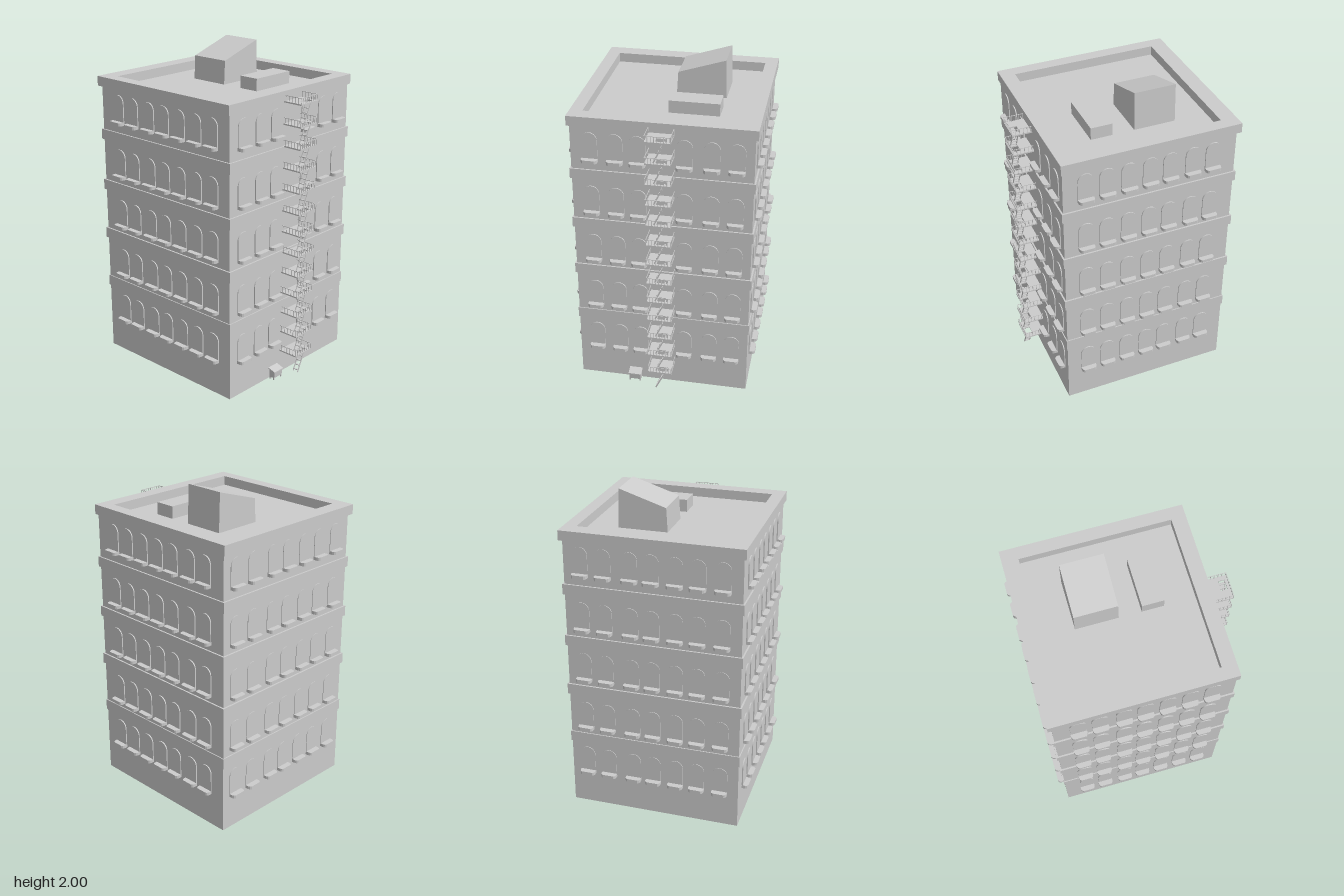
import * as THREE from 'three';
import { mergeGeometries } from 'three/addons/utils/BufferGeometryUtils.js';

const mat = new THREE.MeshStandardMaterial({ color: 0xcccccc, flatShading: true });
const CX = -0.004, CZ = -0.048; // centre of the tower in plan

function box(x0, x1, y0, y1, z0, z1) {
  return new THREE.BoxGeometry(x1 - x0, y1 - y0, z1 - z0)
    .translate((x0 + x1) / 2, (y0 + y1) / 2, (z0 + z1) / 2).toNonIndexed();
}

function polygon(points) {
  return new THREE.Shape(points.map(([x, y]) => new THREE.Vector2(x, y)));
}

function rect(x0, x1, y0, y1) {
  return polygon([[x0, y0], [x1, y0], [x1, y1], [x0, y1]]);
}

function extrude(shape, depth, curveSegments = 8) {
  return new THREE.ExtrudeGeometry(shape, { depth, bevelEnabled: false, curveSegments });
}

// Plan outline (x, z) raised between two heights
function slab(shape, y0, y1) {
  return extrude(shape, y1 - y0).rotateX(Math.PI / 2).translate(0, y1, 0);
}

function add(parent, name, geometry) {
  const mesh = new THREE.Mesh(geometry, mat);
  mesh.name = name;
  parent.add(mesh);
  return mesh;
}

// Arched window panel standing on its sill, facing +z
function windowPanelGeometry(thickness) {
  const w = 0.047, spring = 0.136;
  const s = new THREE.Shape();
  s.moveTo(-w, 0);
  s.lineTo(w, 0);
  s.lineTo(w, spring);
  s.absarc(0, spring, w, 0, Math.PI, false);
  s.lineTo(-w, 0);
  return extrude(s, thickness + 0.01, 10).translate(0, 0, -0.01);
}

// Sill with clipped outer corners
function windowSillGeometry() {
  return slab(polygon([[-0.048, -0.01], [0.048, -0.01], [0.048, 0.022], [0.043, 0.034],
    [0.034, 0.04], [-0.034, 0.04], [-0.043, 0.034], [-0.048, 0.022]]), 0, 0.02);
}

function buildWindows(root) {
  const sill = windowSillGeometry();
  const rows = [0.215, 0.535, 0.867, 1.197, 1.542];
  const sideZ = [0.35, 0.22, 0.088, -0.043, -0.168, -0.308, -0.435];
  const frontX = [-0.424, -0.276, -0.143, 0.13, 0.288, 0.43];
  const backX = [-0.422, -0.276, -0.142, 0, 0.128, 0.288, 0.428];
  const faces = [
    { name: 'front', at: frontX.map(x => [x, 0.485]), turn: 0, thickness: 0.006 },
    { name: 'back', at: backX.map(x => [x, -0.58]), turn: Math.PI, thickness: 0.004 },
    { name: 'left', at: sideZ.map(z => [0.529, z]), turn: Math.PI / 2, thickness: 0.007 },
    { name: 'right', at: sideZ.map(z => [-0.537, z]), turn: -Math.PI / 2, thickness: 0.007 },
  ];
  for (const face of faces) {
    const group = new THREE.Group();
    group.name = face.name + 'Windows';
    const panel = windowPanelGeometry(face.thickness);
    for (const y of rows) for (const [x, z] of face.at) {
      const unit = new THREE.Group();
      unit.name = 'window';
      add(unit, 'archedPanel', panel);
      add(unit, 'sill', sill);
      unit.position.set(x, y, z);
      unit.rotation.y = face.turn;
      group.add(unit);
    }
    root.add(group);
  }
}

// Platform with a ladder opening and a railing on three sides; underside at y = 0
function landingGeometry() {
  const x0 = -0.077, x1 = 0.073, z0 = 0.485, z1 = 0.614, top = 0.044, t = 0.003;
  const floor = rect(x0, x1, z0, z1);
  floor.holes.push(rect(-0.017, 0.046, 0.558, 0.598));
  const parts = [slab(floor, 0, 0.008)];
  // handrails
  parts.push(box(x0, x1, top - t, top, z1 - t, z1));
  for (const x of [x0, x1 - t]) parts.push(box(x, x + t, top - t, top, z0, z1));
  // balusters
  for (let i = 0; i <= 8; i++) {
    const x = x0 + (x1 - x0 - t) * i / 8;
    parts.push(box(x, x + t, 0, top, z1 - t, z1));
  }
  for (let i = 0; i < 5; i++) {
    const z = z0 + 0.012 + (z1 - z0 - 0.012 - t) * i / 5;
    for (const x of [x0, x1 - t]) parts.push(box(x, x + t, 0, top, z, z + t));
  }
  return mergeGeometries(parts);
}

// Leaning ladder that hangs below a landing
function ladderGeometry() {
  const run = 0.066, rise = 0.137, length = Math.hypot(run, rise);
  const parts = [];
  for (const z of [0.561, 0.596]) {
    parts.push(new THREE.BoxGeometry(0.007, length, 0.004)
      .rotateZ(-Math.atan2(run, rise)).translate(0.003, 0.008 - rise / 2, z).toNonIndexed());
  }
  for (let i = 0; i < 5; i++) {
    const k = (i + 0.5) / 5;
    const x = -0.03 + run * k, y = 0.008 - rise + rise * k;
    parts.push(box(x - 0.005, x + 0.005, y - 0.002, y + 0.002, 0.561, 0.596));
  }
  return mergeGeometries(parts);
}

function buildFireEscape(root) {
  const group = new THREE.Group();
  group.name = 'fireEscape';
  const landing = landingGeometry(), ladder = ladderGeometry();
  for (let i = 0; i < 13; i++) {
    const y = 0.148 + i * 0.1335;
    add(group, 'landing', landing).position.y = y;
    add(group, 'ladder', ladder).position.y = y;
  }
  root.add(group);
}

function buildWasteBin(root) {
  const group = new THREE.Group();
  group.name = 'wasteBin';
  // side profile (z, y) swept across the width
  const sweep = (pts, x0, x1) =>
    extrude(polygon(pts.map(([z, y]) => [-z, y])), x1 - x0).rotateY(Math.PI / 2).translate(x0, 0, 0);
  add(group, 'bin', sweep([[0.517, 0.032], [0.517, 0.088], [0.56, 0.074], [0.556, 0.035]], -0.21, -0.138));
  add(group, 'lid', sweep([[0.512, 0.089], [0.512, 0.095], [0.563, 0.079], [0.563, 0.073]], -0.215, -0.133));
  for (const x of [-0.21, -0.145]) for (const z of [0.52, 0.548]) {
    add(group, 'foot', box(x, x + 0.007, 0.02, 0.036, z, z + 0.007));
  }
  root.add(group);
}

function buildRoof(root) {
  const parapet = rect(-0.553, 0.545, -0.603, 0.495);
  parapet.holes.push(rect(-0.476, 0.468, -0.505, 0.407));
  add(root, 'parapet', slab(parapet, 1.76, 1.82));
  // stair head with tapered ends and a sloping top
  add(root, 'stairHead', extrude(polygon([[-0.015, 1.755], [0.289, 1.755], [0.281, 2], [-0.006, 1.908]]), 0.256)
    .translate(0, 0, -0.304));
  add(root, 'roofVent', box(-0.015, 0.288, 1.755, 1.838, 0.087, 0.219));
}

export function createModel() {
  const root = new THREE.Group();
  root.name = 'apartmentBuilding';
  add(root, 'walls', box(-0.537, 0.529, 0, 1.762, -0.58, 0.485));

  // ledges between floors: bottom, top, half width
  for (const [y0, y1, h] of [[0.432, 0.5, 0.539], [0.767, 0.834, 0.543], [1.095, 1.16, 0.543], [1.424, 1.488, 0.543]]) {
    add(root, 'floorLedge', box(CX - h, CX + h, y0, y1, CZ - h, CZ + h));
  }
  buildRoof(root);
  buildWindows(root);
  buildFireEscape(root);
  buildWasteBin(root);
  return root;
}
